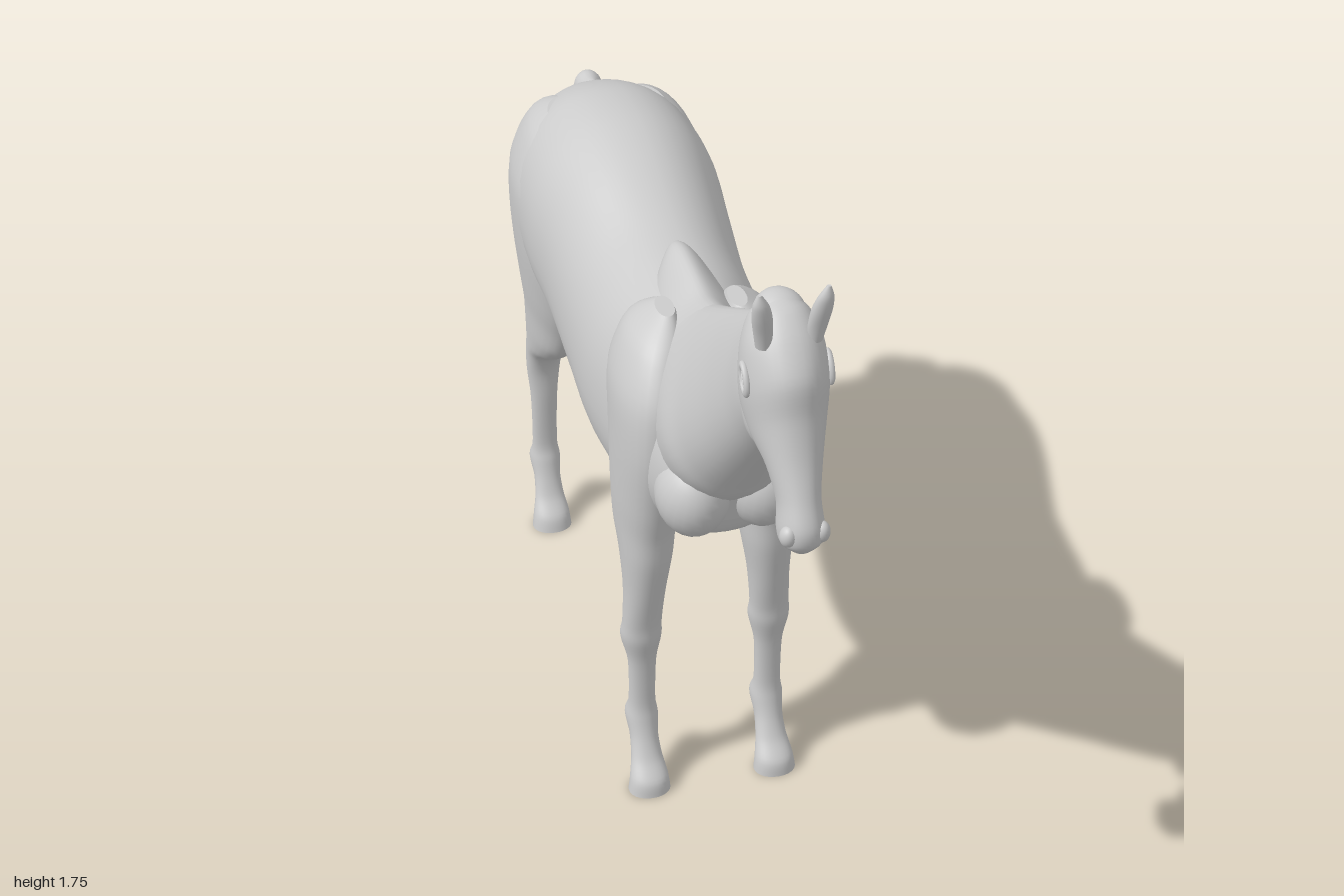
import * as THREE from 'three';

const coat = new THREE.MeshStandardMaterial({ color: 0xcccccc });
coat.name = 'coat grey';
const eyeWhite = new THREE.MeshStandardMaterial({ color: 0xf2f2f2 });
eyeWhite.name = 'eye white';

// Smooth interpolation of station rows
function refine(rows, sub) {
  const out = [], n = rows.length;
  for (let i = 0; i < n - 1; i++) {
    const a = rows[Math.max(i - 1, 0)], b = rows[i], c = rows[i + 1], d = rows[Math.min(i + 2, n - 1)];
    for (let s = 0; s < sub; s++) {
      const t = s / sub, t2 = t * t, t3 = t2 * t;
      out.push(b.map((v, j) => (2 * t3 - 3 * t2 + 1) * v + (t3 - 2 * t2 + t) * 0.45 * (c[j] - a[j])
        + (3 * t2 - 2 * t3) * c[j] + (t3 - t2) * 0.45 * (d[j] - v)));
    }
  }
  out.push(rows[n - 1]);
  return out;
}

// Loft through rings. Row: front/top z,y, back/bottom z,y, centre x, half width, optional narrowing towards the top
function loft(name, rows, { seg = 32, side = 1, power = 1 } = {}) {
  const rings = refine(rows.map(([zf, yf, zb, yb, cx, hw, k = 0]) => [zf, yf, zb, yb, cx, hw, k]), 5);
  const pos = [], idx = [];
  const pw = v => Math.sign(v) * Math.abs(v) ** power;
  const addRing = ([zf, yf, zb, yb, cx, hw, k]) => {
    for (let j = 0; j < seg; j++) {
      const a = j / seg * Math.PI * 2, s = pw(Math.sin(a)), c = pw(Math.cos(a));
      pos.push(side * (cx + hw * c * (1 - k * s)), (yf + yb) / 2 + (yf - yb) / 2 * s, (zf + zb) / 2 + (zf - zb) / 2 * s);
    }
  };
  rings.forEach(addRing);
  for (let i = 0; i < rings.length - 1; i++) for (let j = 0; j < seg; j++) {
    const a = i * seg + j, b = i * seg + (j + 1) % seg;
    idx.push(a, b, a + seg, b, b + seg, a + seg);
  }
  // Flat end caps with their own vertices
  [rings[0], rings[rings.length - 1]].forEach((r, end) => {
    const base = pos.length / 3;
    addRing(r);
    pos.push(side * r[4], (r[1] + r[3]) / 2, (r[0] + r[2]) / 2);
    for (let j = 0; j < seg; j++) {
      const a = base + j, b = base + (j + 1) % seg;
      idx.push(base + seg, ...(end ? [a, b] : [b, a]));
    }
  });
  // Turn the faces outwards using the signed volume
  let vol = 0;
  const p = [0, 1, 2].map(() => new THREE.Vector3());
  for (let i = 0; i < idx.length; i += 3) {
    p.forEach((v, j) => v.fromArray(pos, idx[i + j] * 3));
    vol += p[0].dot(p[1].clone().cross(p[2]));
  }
  if (vol < 0) idx.reverse();
  const g = new THREE.BufferGeometry();
  g.setAttribute('position', new THREE.Float32BufferAttribute(pos, 3));
  g.setIndex(idx);
  g.computeVertexNormals();
  const m = new THREE.Mesh(g, coat);
  m.name = name;
  return m;
}

// Leg rows: y, front z, back z, inner x, outer x
const legLoft = (name, rows, side) => loft(name,
  rows.map(([y, zf, zb, xi, xo]) => [zf, y, zb, y, (xi + xo) / 2, (xo - xi) / 2]), { side, seg: 28, power: 0.95 });

function ball(name, [x, y, z], [sx, sy, sz], rx = 0, mat = coat) {
  const m = new THREE.Mesh(new THREE.SphereGeometry(1, 24, 16), mat);
  m.name = name;
  m.position.set(x, y, z);
  m.scale.set(sx, sy, sz);
  m.rotation.x = rx;
  return m;
}

const frontLegRows = [
  [0, 0.315, 0.235, 0.1, 0.197], [0.035, 0.308, 0.233, 0.104, 0.192], [0.075, 0.275, 0.215, 0.112, 0.183],
  [0.12, 0.252, 0.185, 0.115, 0.18], [0.165, 0.238, 0.155, 0.11, 0.185], [0.215, 0.23, 0.178, 0.117, 0.178],
  [0.33, 0.233, 0.182, 0.115, 0.18], [0.4, 0.246, 0.158, 0.102, 0.195], [0.45, 0.25, 0.172, 0.103, 0.192],
  [0.55, 0.27, 0.16, 0.095, 0.19], [0.65, 0.29, 0.13, 0.08, 0.196], [0.73, 0.3, 0.085, 0.07, 0.203],
  [0.82, 0.32, 0.07, 0.06, 0.207], [0.97, 0.345, 0.05, 0.06, 0.208], [1.1, 0.335, 0.03, 0.05, 0.203],
  [1.2, 0.275, 0.055, 0.045, 0.165], [1.255, 0.2, 0.12, 0.06, 0.1],
];
const hindLegRows = [
  [0, -0.697, -0.778, 0.1, 0.197], [0.035, -0.708, -0.78, 0.104, 0.192], [0.075, -0.74, -0.79, 0.112, 0.183],
  [0.12, -0.76, -0.815, 0.115, 0.18], [0.165, -0.773, -0.848, 0.11, 0.185], [0.215, -0.784, -0.824, 0.117, 0.178],
  [0.35, -0.778, -0.824, 0.115, 0.18], [0.44, -0.772, -0.83, 0.107, 0.188], [0.5, -0.742, -0.84, 0.1, 0.19],
  [0.55, -0.67, -0.85, 0.09, 0.192], [0.61, -0.602, -0.862, 0.075, 0.196], [0.69, -0.55, -0.872, 0.05, 0.202],
  [0.78, -0.49, -0.895, 0.025, 0.214], [0.92, -0.42, -0.928, 0.012, 0.229], [1.06, -0.4, -0.92, 0.01, 0.23],
  [1.17, -0.5, -0.86, 0.02, 0.19], [1.22, -0.6, -0.78, 0.05, 0.14],
];

export function createModel() {
  const horse = new THREE.Group();
  horse.name = 'horse';

  // Trunk from rump to chest
  horse.add(loft('body', [
    [-0.945, 1.06, -0.935, 0.93, 0, 0.03], [-0.925, 1.12, -0.92, 0.88, 0, 0.09],
    [-0.88, 1.185, -0.88, 0.82, 0, 0.15], [-0.8, 1.235, -0.8, 0.78, 0, 0.198, 0.02],
    [-0.7, 1.272, -0.68, 0.75, 0, 0.227, 0.02], [-0.55, 1.29, -0.55, 0.735, 0, 0.232, 0.02],
    [-0.4, 1.273, -0.42, 0.72, 0, 0.221, 0.03], [-0.2, 1.226, -0.25, 0.683, 0, 0.213, 0.05],
    [-0.02, 1.228, -0.08, 0.67, 0, 0.213, 0.08], [0.12, 1.245, 0.1, 0.68, 0, 0.195, 0.12],
    [0.24, 1.245, 0.24, 0.725, 0, 0.175, 0.12], [0.34, 1.17, 0.33, 0.77, 0, 0.16, 0.08],
    [0.41, 1.08, 0.395, 0.81, 0, 0.13], [0.46, 1.0, 0.42, 0.86, 0, 0.07],
  ], { seg: 48, power: 0.92 }));

  // Raised withers ridge
  horse.add(loft('withers', [
    [-0.085, 1.235, -0.07, 1.16, 0, 0.012], [-0.055, 1.27, -0.05, 1.15, 0, 0.03],
    [0, 1.287, 0, 1.13, 0, 0.06, 0.3], [0.1, 1.291, 0.1, 1.1, 0, 0.085, 0.45],
    [0.19, 1.291, 0.22, 1.08, 0, 0.1, 0.45], [0.3, 1.33, 0.36, 1.1, 0, 0.08, 0.3],
  ]));

  // Neck
  horse.add(loft('neck', [
    [0.1, 1.25, 0.33, 0.83, 0, 0.14, 0.2], [0.21, 1.287, 0.475, 0.96, 0, 0.138, 0.3],
    [0.32, 1.35, 0.535, 1.03, 0, 0.118, 0.3], [0.45, 1.433, 0.63, 1.145, 0, 0.097, 0.3],
    [0.6, 1.53, 0.725, 1.26, 0, 0.085, 0.25], [0.7, 1.598, 0.8, 1.36, 0, 0.08, 0.15],
    [0.76, 1.645, 0.84, 1.42, 0, 0.06],
  ], { seg: 36 }));

  // Head from poll to muzzle
  horse.add(loft('head', [
    [0.765, 1.675, 0.72, 1.645, 0, 0.025], [0.81, 1.665, 0.7, 1.6, 0, 0.06],
    [0.86, 1.625, 0.7, 1.52, 0, 0.083], [0.906, 1.56, 0.725, 1.425, 0, 0.088, 0.1],
    [0.918, 1.48, 0.775, 1.36, 0, 0.075, 0.08], [0.942, 1.395, 0.835, 1.325, 0, 0.056],
    [0.972, 1.32, 0.872, 1.272, 0, 0.044], [0.997, 1.262, 0.88, 1.222, 0, 0.047],
    [0.995, 1.222, 0.895, 1.197, 0, 0.042], [0.972, 1.193, 0.925, 1.187, 0, 0.02],
  ], { seg: 36, power: 0.93 }));
  horse.add(ball('poll', [0, 1.63, 0.765], [0.055, 0.045, 0.06], 0.4));
  horse.add(ball('chin', [0, 1.212, 0.895], [0.028, 0.022, 0.03]));

  // Docked tail
  horse.add(loft('tail', [
    [-0.83, 1.215, -0.83, 1.16, 0, 0.012], [-0.875, 1.203, -0.86, 1.13, 0, 0.028],
    [-0.92, 1.195, -0.885, 1.12, 0, 0.034], [-0.955, 1.14, -0.9, 1.08, 0, 0.03],
    [-0.995, 1.07, -0.92, 1.04, 0, 0.034], [-0.985, 1.035, -0.925, 1.005, 0, 0.03],
    [-0.96, 1.005, -0.94, 0.995, 0, 0.01],
  ], { seg: 20 }));

  for (const side of [1, -1]) {
    const tag = side > 0 ? 'left' : 'right';
    horse.add(legLoft(tag + 'FrontLeg', frontLegRows, side));
    horse.add(legLoft(tag + 'HindLeg', hindLegRows, side));
    horse.add(ball(tag + 'Breast', [side * 0.076, 0.925, 0.385], [0.082, 0.105, 0.095], 0.35));
    horse.add(ball(tag + 'Buttock', [side * 0.06, 0.93, -0.865], [0.07, 0.14, 0.07], -0.1));
    horse.add(ball(tag + 'Cheek', [side * 0.042, 1.43, 0.79], [0.038, 0.08, 0.065], -0.3));
    horse.add(ball(tag + 'Nostril', [side * 0.034, 1.243, 0.972], [0.018, 0.026, 0.02], 0.3));

    // Pointed ear
    horse.add(loft(tag + 'Ear', [
      [0.85, 1.61, 0.815, 1.61, 0.052, 0.016], [0.858, 1.65, 0.826, 1.65, 0.055, 0.02],
      [0.868, 1.69, 0.834, 1.69, 0.06, 0.021], [0.873, 1.725, 0.848, 1.725, 0.065, 0.016],
      [0.868, 1.752, 0.86, 1.752, 0.069, 0.004],
    ], { seg: 16, side }));

    // Eye with a raised lid
    const eye = new THREE.Group();
    eye.name = tag + 'Eye';
    eye.position.set(side * 0.086, 1.53, 0.823);
    eye.rotation.set(-0.5, side * Math.PI / 2, 0);
    const lid = new THREE.Mesh(new THREE.TorusGeometry(0.022, 0.007, 10, 28), coat);
    lid.name = 'eyelid';
    lid.scale.set(0.75, 1.3, 1);
    eye.add(lid, ball('eyeball', [0, 0, 0], [0.014, 0.026, 0.005], 0, eyeWhite));
    horse.add(eye);
  }
  return horse;
}
